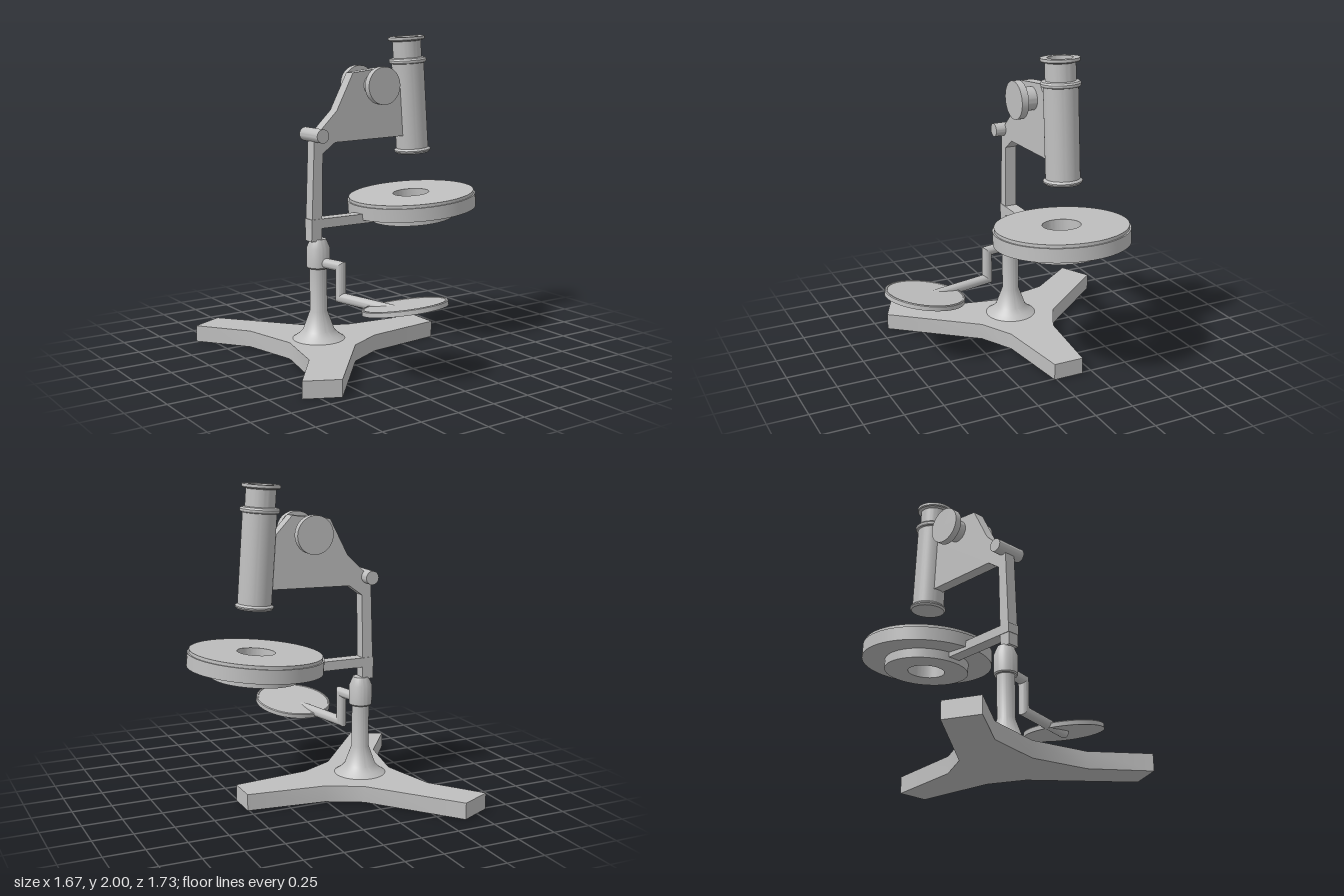
import * as THREE from 'three';
import { toCreasedNormals } from 'three/addons/utils/BufferGeometryUtils.js';

const AXIS_Z = -0.08; // plane the column, arm and tube share

export function createModel() {
  const model = new THREE.Group();
  model.name = 'microscope';
  const grey = new THREE.MeshStandardMaterial({ color: 0xbfbfbf });
  grey.name = 'grey metal';

  const add = (name, geometry, x = 0, y = 0, z = 0, parent = model) => {
    const mesh = new THREE.Mesh(toCreasedNormals(geometry, 0.45), grey);
    mesh.name = name;
    mesh.position.set(x, y, z);
    parent.add(mesh);
    return mesh;
  };
  const lathe = (points, segments = 64) =>
    new THREE.LatheGeometry(points.map(([r, y]) => new THREE.Vector2(r, y)), segments);
  const plate = (points, depth) => new THREE.ExtrudeGeometry(
    new THREE.Shape(points.map(([x, y]) => new THREE.Vector2(x, y))), { depth, bevelEnabled: false });
  const crossBar = (r, length) => new THREE.CylinderGeometry(r, r, length, 48).rotateX(Math.PI / 2);

  // Three-legged foot: half outline mirrored across the centre plane
  const half = [[0.51, 0.098], [0.01, 0.155], [-0.21, 0.267], [-0.635, 0.78], [-0.84, 0.68], [-0.605, 0.367]];
  const outline = [
    ...half, [-0.525, 0],
    ...half.map(([x, z]) => [x, -z]).reverse(),
  ];
  add('foot', plate(outline, 0.105).rotateX(Math.PI / 2), 0, 0.105, -0.085);

  // Flared column with its collar
  add('column', lathe([
    [0, 0.1], [0.165, 0.1], [0.165, 0.105], [0.13, 0.13], [0.1, 0.16], [0.055, 0.285], [0.055, 0.56],
    [0.067, 0.56], [0.073, 0.568], [0.073, 0.69], [0.05, 0.745], [0, 0.745],
  ]), -0.315, 0, AXIS_Z);

  // Post and arm
  add('arm', plate([
    [-0.385, 0.735], [-0.31, 0.735], [-0.3, 1.28], [-0.21, 1.345], [0.35, 1.357], [0.33, 1.64],
    [0.28, 1.69], [0.175, 1.8], [-0.077, 1.77], [-0.197, 1.54], [-0.3, 1.44], [-0.36, 1.395],
  ], 0.076), 0, 0, AXIS_Z - 0.038);
  add('hingePin', crossBar(0.043, 0.21), -0.338, 1.395, AXIS_Z);

  // Focus knobs on their axle
  add('focusAxle', crossBar(0.072, 0.24), 0.077, 1.69, AXIS_Z);
  for (const side of [-1, 1]) {
    add('focusKnob', crossBar(0.118, 0.045), 0.077, 1.69, AXIS_Z + side * 0.14);
  }

  // Leaning body tube with flanges and hollow eyepiece
  const tube = add('bodyTube', lathe([
    [0, 0], [0.108, 0], [0.118, 0.012], [0.118, 0.02], [0.104, 0.032], [0.104, 0.58],
    [0.115, 0.583], [0.121, 0.592], [0.121, 0.602], [0.113, 0.613], [0.092, 0.617], [0.092, 0.722],
    [0.113, 0.727], [0.118, 0.733], [0.118, 0.75], [0.077, 0.75], [0.077, 0.715], [0, 0.715],
  ]), 0.412, 1.242, AXIS_Z);
  tube.rotation.z = 0.073;

  // Tilted round stage with a hole, on a straight bracket
  const stage = add('stage', lathe([
    [0.118, 0], [0.27, 0], [0.27, 0.06], [0.42, 0.06], [0.42, 0.146],
    [0.41, 0.146], [0.41, 0.166], [0.118, 0.166], [0.118, 0],
  ], 96), 0.415, 0.81, AXIS_Z);
  stage.rotation.z = 0.08;
  add('stageBracket', new THREE.BoxGeometry(0.6, 0.06, 0.084), -0.085, 0.845, AXIS_Z);

  // Mirror assembly, swung sideways about the column
  const swing = new THREE.Group();
  swing.name = 'mirrorAssembly';
  swing.position.set(-0.315, 0, AXIS_Z);
  swing.rotation.y = 0.22;
  model.add(swing);

  // Cranked rod: a cylinder whose rings follow a mitred path of [z, y, mitre z, mitre y]
  const path = [[0, 0.597, 0, 1], [0.197, 0.597, 1, 1], [0.197, 0.4, 1, 1], [0.675, 0.4, 0, 1]];
  const rod = new THREE.CylinderGeometry(0.032, 0.032, 1, 32, 3);
  const pos = rod.attributes.position;
  for (let i = 0; i < pos.count; i++) {
    const [z, y, mz, my] = path[Math.round((pos.getY(i) + 0.5) * 3)];
    const across = pos.getZ(i);
    pos.setXYZ(i, -pos.getX(i), y + across * my, z + across * mz);
  }
  add('mirrorRod', rod, 0, 0, 0, swing);

  // Round mirror with a thin raised rim, its far edge lifted
  const mirror = add('mirror', lathe([
    [0, -0.015], [0.257, -0.015], [0.257, 0.012], [0.252, 0.017], [0.243, 0.017], [0.241, 0.014], [0, 0.014],
  ], 80), 0.021, 0.429, 0.707, swing);
  mirror.rotation.x = -0.18;

  return model;
}
